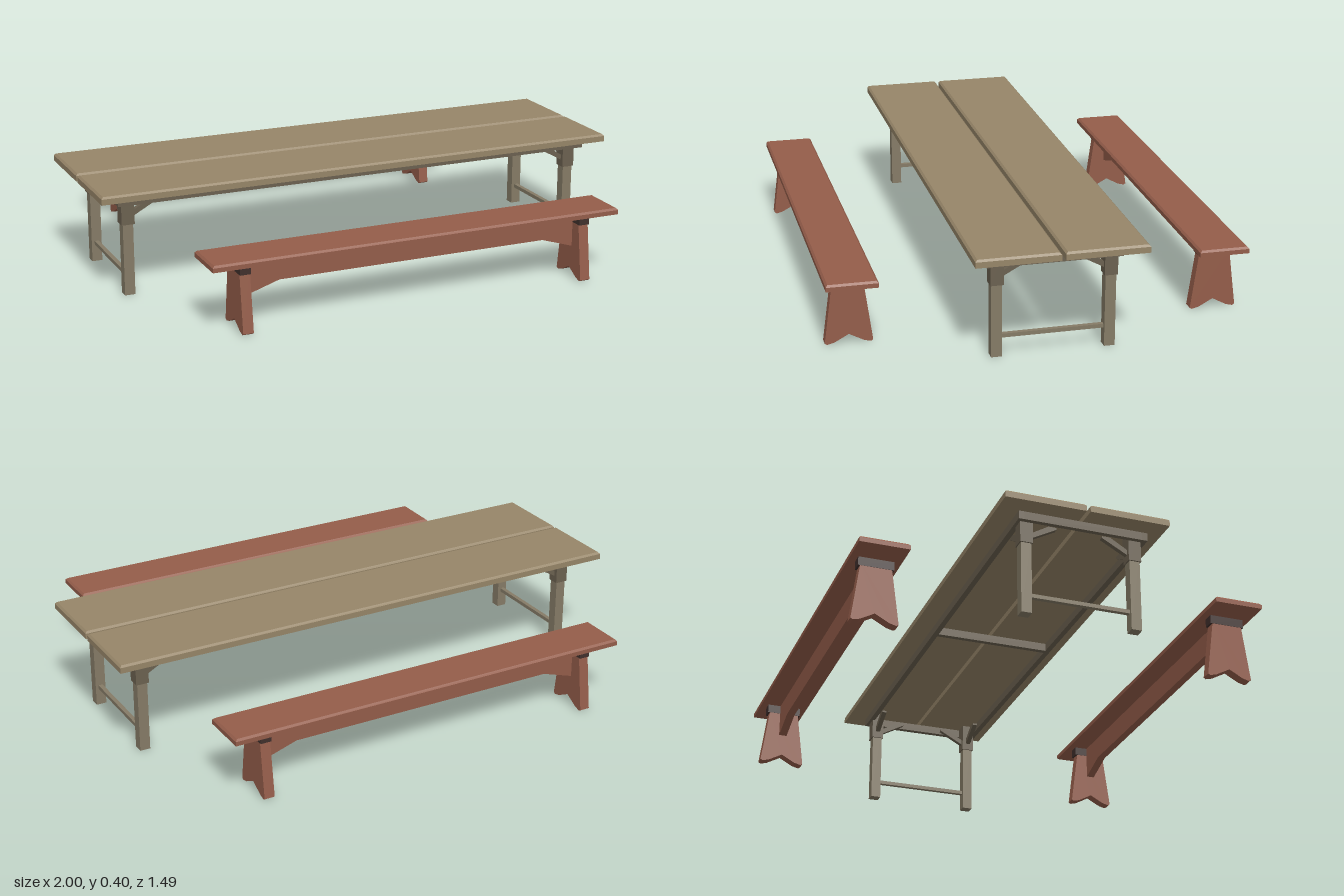
import * as THREE from 'three';

const mat = (color) => new THREE.MeshStandardMaterial({ color, flatShading: true });
const WOOD = mat(0x968568), LEG = mat(0x857b66), FRAME = mat(0x6b6150);
const BENCH = mat(0x945d4a), DARK = mat(0x40302c);

function add(parent, name, geometry, material) {
  const mesh = new THREE.Mesh(geometry, material);
  mesh.name = name;
  parent.add(mesh);
  return mesh;
}

// Box given by its limits on each axis
function block(parent, name, material, [x0, x1], [y0, y1], [z0, z1]) {
  const mesh = add(parent, name, new THREE.BoxGeometry(x1 - x0, y1 - y0, z1 - z0), material);
  mesh.position.set((x0 + x1) / 2, (y0 + y1) / 2, (z0 + z1) / 2);
  return mesh;
}

// Board whose upper edges are chamfered by b
function plank(parent, name, material, [x0, x1], [y0, y1], [z0, z1], b = 0.007) {
  const w = x1 - x0, h = y1 - y0, d = z1 - z0;
  const geo = new THREE.BoxGeometry(w, h, d, 1, 2, 1);
  const p = geo.attributes.position;
  for (let i = 0; i < p.count; i++) {
    const y = p.getY(i);
    if (Math.abs(y) < 1e-6) p.setY(i, h / 2 - b);
    else if (y > 0) {
      p.setX(i, p.getX(i) - Math.sign(p.getX(i)) * b);
      p.setZ(i, p.getZ(i) - Math.sign(p.getZ(i)) * b);
    }
  }
  geo.computeVertexNormals();
  const mesh = add(parent, name, geo, material);
  mesh.position.set((x0 + x1) / 2, (y0 + y1) / 2, (z0 + z1) / 2);
  return mesh;
}

// Outline extruded in depth and centred on its plane
function panel(points, depth) {
  const shape = new THREE.Shape(points.map(([x, y]) => new THREE.Vector2(x, y)));
  return new THREE.ExtrudeGeometry(shape, { depth, bevelEnabled: false }).translate(0, 0, -depth / 2);
}

function buildTable() {
  const table = new THREE.Group();
  table.name = 'table';

  // Two top planks with a narrow gap
  plank(table, 'frontTopPlank', WOOD, [-1, 1], [0.368, 0.396], [-0.006, 0.286]);
  plank(table, 'backTopPlank', WOOD, [-1, 1], [0.368, 0.396], [-0.312, -0.02]);

  // Apron frame and middle cross bar
  const y = [0.338, 0.368];
  block(table, 'frontApron', FRAME, [-0.927, 0.935], y, [0.214, 0.234]);
  block(table, 'backApron', FRAME, [-0.927, 0.935], y, [-0.238, -0.218]);
  block(table, 'rightApron', FRAME, [-0.927, -0.91], y, [-0.218, 0.214]);
  block(table, 'leftApron', FRAME, [0.915, 0.935], y, [-0.218, 0.214]);
  block(table, 'crossBar', FRAME, [0.003, 0.022], y, [-0.218, 0.214]);

  // Diagonal brace outline, running from the leg up to the frame
  const brace = [[0.018, 0.285], [0.115, 0.338], [0.115, 0.345], [0.085, 0.345], [0.018, 0.305]];

  for (const sx of [-1, 1]) {
    const x = 0.886 * sx;
    for (const sz of [-1, 1]) {
      const leg = new THREE.Group();
      leg.name = (sz > 0 ? 'front' : 'back') + (sx > 0 ? 'Left' : 'Right') + 'Leg';
      leg.position.set(x, 0, -0.006 + 0.198 * sz);
      table.add(leg);
      block(leg, 'post', LEG, [-0.019, 0.019], [0, 0.30], [-0.019, 0.019]);
      block(leg, 'legBlock', FRAME, [-0.024, 0.024], [0.262, 0.368], [-0.023, 0.023]);
      // Braces point inwards along the table and across it
      add(leg, 'longBrace', panel(brace, 0.018), FRAME).rotation.y = sx > 0 ? Math.PI : 0;
      add(leg, 'crossBrace', panel(brace, 0.018), FRAME).rotation.y = sz * Math.PI / 2;
    }
    block(table, 'stretcher', LEG, [x - 0.008, x + 0.008], [0.064, 0.078], [-0.186, 0.174]);
  }
  return table;
}

function buildBench(name, z) {
  const bench = new THREE.Group();
  bench.name = name;
  bench.position.set(0.008, 0, z);

  plank(bench, 'seat', BENCH, [-0.775, 0.775], [0.24, 0.263], [-0.09, 0.09]);

  // Splayed end boards with a notched foot, each under a cleat
  const foot = [[-0.084, 0.005], [-0.076, 0], [-0.052, 0.006], [0, 0.034], [0.052, 0.006],
    [0.076, 0], [0.084, 0.005], [0.055, 0.22], [-0.055, 0.22]];
  for (const sx of [-1, 1]) {
    const x = 0.651 * sx;
    const end = add(bench, 'endBoard', panel(foot, 0.038), BENCH);
    end.rotation.y = Math.PI / 2;
    end.position.x = x;
    block(bench, 'cleat', DARK, [x - 0.02, x + 0.02], [0.208, 0.24], [-0.064, 0.064]);
  }

  // Centre rail, deeper where it meets the end boards
  add(bench, 'rail', panel([[-0.635, 0.115], [-0.51, 0.155], [0.51, 0.155], [0.635, 0.115],
    [0.635, 0.24], [-0.635, 0.24]], 0.03), BENCH);
  return bench;
}

export function createModel() {
  const model = new THREE.Group();
  model.name = 'picnicTableSet';
  model.add(buildTable(), buildBench('frontBench', 0.656), buildBench('backBench', -0.656));
  return model;
}
